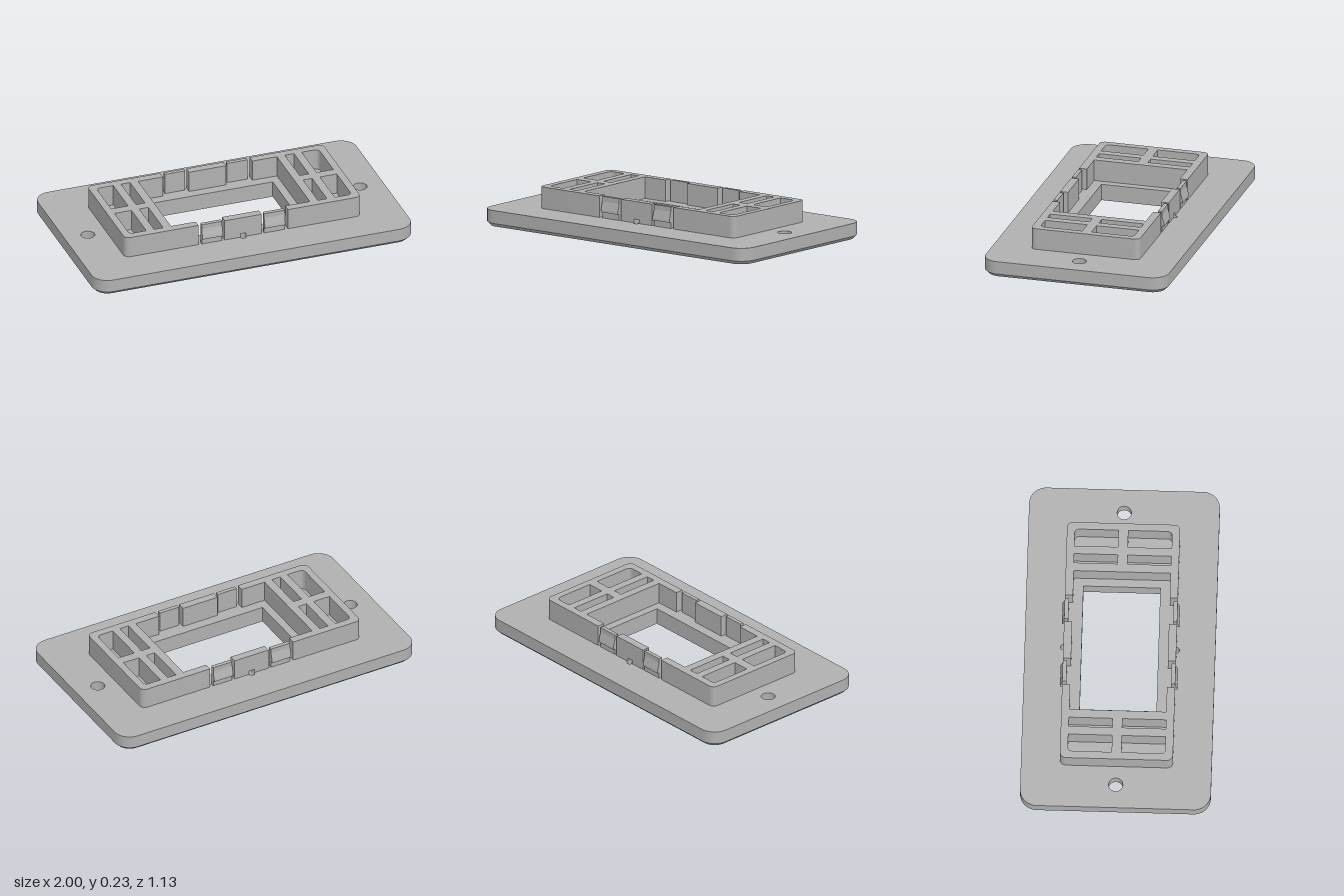
import * as THREE from 'three';
import { mergeGeometries, toCreasedNormals } from 'three/addons/utils/BufferGeometryUtils.js';

const PLATE_TOP = 0.1, FRAME_TOP = 0.23, CHAMFER = 0.022, WALL_OUT = 0.334, WALL_IN = 0.286;
const V = (x, y) => new THREE.Vector2(x, y);

// Counter-clockwise outlines
function roundedRect(hx, hy, r, seg = 12) {
  const pts = [];
  [[1, 1], [-1, 1], [-1, -1], [1, -1]].forEach(([sx, sy], c) => {
    for (let i = 0; i <= seg; i++) {
      const a = (c + i / seg) * Math.PI / 2;
      pts.push(V(sx * (hx - r) + r * Math.cos(a), sy * (hy - r) + r * Math.sin(a)));
    }
  });
  return pts;
}
function circle(cx, cy, r, n = 32) {
  return Array.from({ length: n }, (_, i) => {
    const a = i / n * Math.PI * 2;
    return V(cx + r * Math.cos(a), cy + r * Math.sin(a));
  });
}
const rect = (x0, x1, y0, y1) => [V(x0, y0), V(x1, y0), V(x1, y1), V(x0, y1)];

// Wall strip through a stack of [outline, height] rings
function walls(rings, inward) {
  const pos = [];
  const put = (p, y) => pos.push(p.x, y, -p.y);
  for (let k = 0; k + 1 < rings.length; k++) {
    let [a, ya] = rings[k], [b, yb] = rings[k + 1];
    if (inward) { a = [...a].reverse(); b = [...b].reverse(); }
    a.forEach((p, i) => {
      const j = (i + 1) % a.length;
      put(p, ya); put(a[j], ya); put(b[j], yb);
      put(p, ya); put(b[j], yb); put(b[i], yb);
    });
  }
  const g = new THREE.BufferGeometry();
  g.setAttribute('position', new THREE.Float32BufferAttribute(pos, 3));
  return toCreasedNormals(g, 0.5);
}

function cap(outline, holes, y, up) {
  const s = new THREE.Shape(outline);
  holes.forEach(h => s.holes.push(new THREE.Path(h)));
  const g = new THREE.ShapeGeometry(s).toNonIndexed();
  g.deleteAttribute('uv');
  return g.rotateX(up ? -Math.PI / 2 : Math.PI / 2).translate(0, y, 0);
}

// Plan outline raised from y0 to y1
function raise(shape, y0, y1) {
  const g = new THREE.ExtrudeGeometry(shape, { depth: y1 - y0, bevelEnabled: false, curveSegments: 8 });
  return toCreasedNormals(g.rotateX(-Math.PI / 2).translate(0, y0, 0), 0.5);
}

// Plate with chamfered underside, window, countersunk screw holes and release holes
function plateGeometry() {
  const outer = roundedRect(1, 0.564, 0.1);
  const base = roundedRect(1 - CHAMFER, 0.564 - CHAMFER, 0.1 - CHAMFER);
  const window_ = rect(-0.388, 0.388, -0.227, 0.227);
  const holes = [[[window_, 0], [window_, PLATE_TOP]]];
  for (const s of [1, -1]) {
    const screw = circle(s * 0.855, 0, 0.042), sink = circle(s * 0.855, 0, 0.06);
    holes.push([[sink, 0], [screw, 0.03], [screw, PLATE_TOP]]);
    const pin = circle(0, s * WALL_OUT, 0.018, 20);
    holes.push([[pin, 0], [pin, PLATE_TOP]]);
  }
  return mergeGeometries([
    walls([[base, 0], [outer, CHAMFER], [outer, PLATE_TOP]], false),
    ...holes.map(h => walls(h, true)),
    cap(outer, holes.map(h => h[h.length - 1][0]), PLATE_TOP, true),
    cap(base, holes.map(h => h[0][0]), 0, false),
  ]);
}

// C-shaped end of the raised frame with four pockets
function frameEndGeometry() {
  const X = 0.741, Z = WALL_OUT, r = 0.035;
  const s = new THREE.Shape();
  s.moveTo(0.281, -Z);
  s.lineTo(X - r, -Z);
  s.absarc(X - r, -Z + r, r, -Math.PI / 2, 0, false);
  s.lineTo(X, Z - r);
  s.absarc(X - r, Z - r, r, 0, Math.PI / 2, false);
  s.lineTo(0.281, Z);
  s.lineTo(0.281, WALL_IN);
  s.lineTo(0.436, WALL_IN);
  s.lineTo(0.436, -WALL_IN);
  s.lineTo(0.281, -WALL_IN);
  s.closePath();
  const c = 0.03;
  for (const k of [1, -1]) {
    s.holes.push(new THREE.Path(rect(0.486, 0.543, k * 0.029, k * 0.288)));
    // Outer pocket has one softened corner
    const p = new THREE.Path();
    p.moveTo(0.592, k * 0.029);
    p.lineTo(0.698, k * 0.029);
    p.lineTo(0.698, k * (0.288 - c));
    p.quadraticCurveTo(0.698, k * 0.288, 0.698 - c, k * 0.288);
    p.lineTo(0.592, k * 0.288);
    p.closePath();
    s.holes.push(p);
  }
  return raise(s, PLATE_TOP, FRAME_TOP);
}

// Middle wall, notched at its foot over the release hole
function middleWallGeometry() {
  const notchTop = 0.123, w = 0.116;
  const foot = new THREE.Shape();
  foot.moveTo(-w, -WALL_OUT);
  foot.lineTo(-0.018, -WALL_OUT);
  foot.absarc(0, -WALL_OUT, 0.018, Math.PI, 0, true);
  foot.lineTo(w, -WALL_OUT);
  foot.lineTo(w, -WALL_IN);
  foot.lineTo(-w, -WALL_IN);
  foot.closePath();
  const body = new THREE.Shape(rect(-w, w, -WALL_OUT, -WALL_IN));
  return mergeGeometries([raise(foot, PLATE_TOP, notchTop), raise(body, notchTop, FRAME_TOP)]);
}

// Snap clip with a wedge-shaped barb, profile in z and y
function clipGeometry() {
  const profile = new THREE.Shape([
    V(0.31, PLATE_TOP), V(WALL_OUT, PLATE_TOP), V(WALL_OUT, 0.137), V(0.348, 0.137),
    V(0.347, 0.15), V(WALL_OUT, 0.2), V(WALL_OUT, FRAME_TOP), V(0.31, FRAME_TOP),
  ]);
  const g = new THREE.ExtrudeGeometry(profile, { depth: 0.128, bevelEnabled: false });
  return g.rotateY(-Math.PI / 2).translate(0.064, 0, 0);
}

export function createModel() {
  const model = new THREE.Group();
  model.name = 'mountingPlate';
  const grey = new THREE.MeshStandardMaterial({ color: 0xb0b0b0 });
  grey.name = 'grey plastic';
  const add = (name, geometry, parent = model) => {
    const mesh = new THREE.Mesh(geometry, grey);
    mesh.name = name;
    parent.add(mesh);
    return mesh;
  };

  add('plate', plateGeometry());
  const end = frameEndGeometry(), wall = middleWallGeometry(), clip = clipGeometry();

  // Each half turn repeats one frame end, one middle wall and two clips
  ['front', 'back'].forEach((side, i) => {
    const half = new THREE.Group();
    half.name = side + 'FrameHalf';
    half.rotation.y = i * Math.PI;
    add('frameEnd', end, half);
    add('middleWall', wall, half);
    for (const s of [1, -1]) add('snapClip', clip, half).position.x = s * 0.196;
    model.add(half);
  });
  return model;
}
